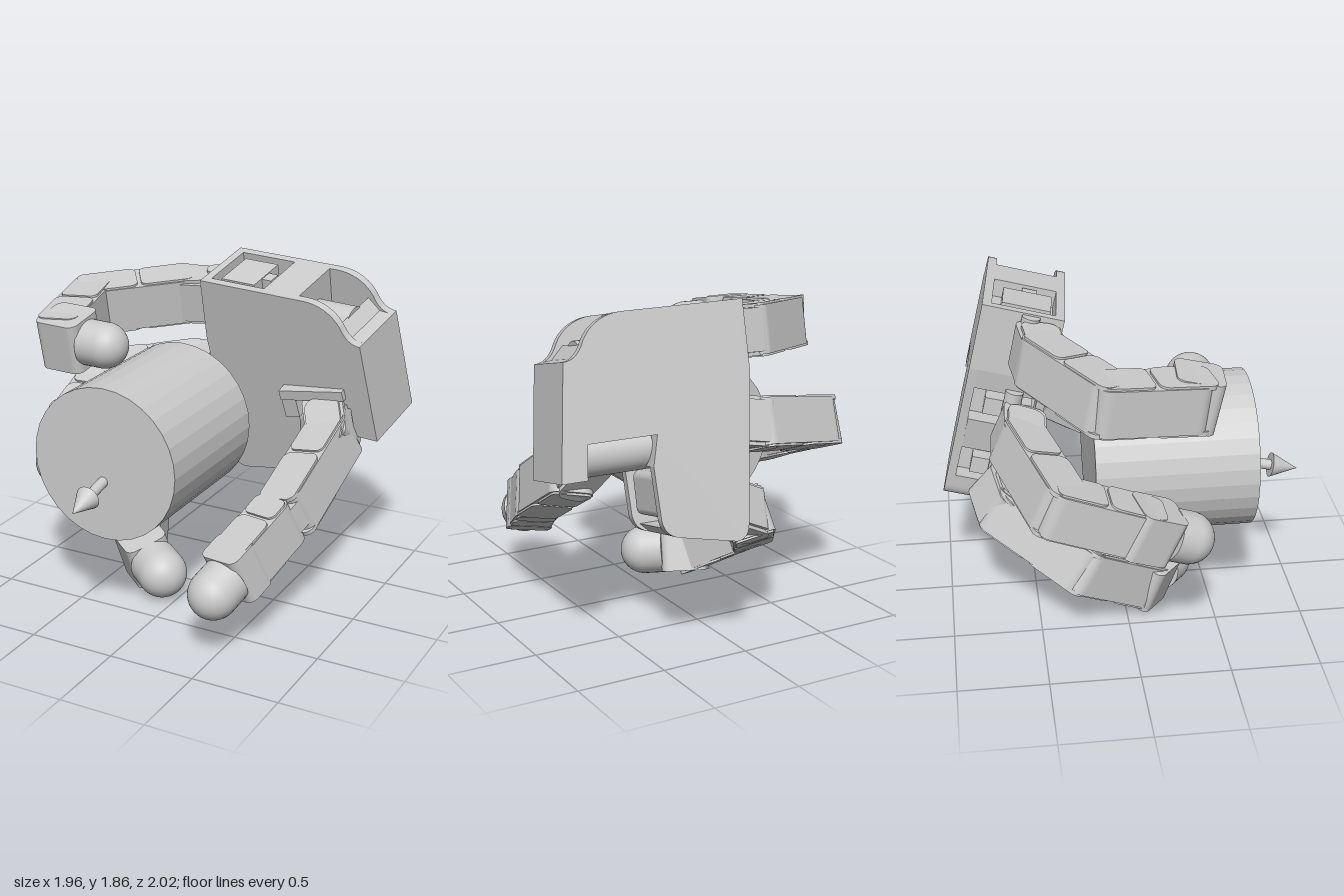
import * as THREE from 'three';

const grey = new THREE.MeshStandardMaterial({ color: 0xcccccc });
const faceted = new THREE.MeshStandardMaterial({ color: 0xcccccc, flatShading: true });
const V = (x, y, z) => new THREE.Vector3(x, y, z);

function add(parent, name, geometry, x = 0, y = 0, z = 0, material = grey) {
  const mesh = new THREE.Mesh(geometry, material);
  mesh.name = name;
  mesh.position.set(x, y, z);
  parent.add(mesh);
  return mesh;
}
const box = (parent, name, w, h, d, x, y, z) => add(parent, name, new THREE.BoxGeometry(w, h, d), x, y, z);

// Rounded rectangle from x0 to x1, centred on y, extruded along z by w
function slab(x0, x1, h, w, r) {
  const s = new THREE.Shape();
  s.absarc(x1 - r, h / 2 - r, r, 0, Math.PI / 2);
  s.absarc(x0 + r, h / 2 - r, r, Math.PI / 2, Math.PI);
  s.absarc(x0 + r, r - h / 2, r, Math.PI, Math.PI * 1.5);
  s.absarc(x1 - r, r - h / 2, r, Math.PI * 1.5, Math.PI * 2);
  s.closePath();
  const g = new THREE.ExtrudeGeometry(s, { depth: w, bevelEnabled: false, curveSegments: 6 });
  return g.translate(0, 0, -w / 2);
}

// Group whose x axis runs from a to b and whose z axis follows the hinge axis
function frame(parent, name, a, b, hinge) {
  const x = b.clone().sub(a).normalize();
  const y = hinge.clone().cross(x).normalize();
  const z = x.clone().cross(y);
  const g = new THREE.Group();
  g.name = name;
  g.quaternion.setFromRotationMatrix(new THREE.Matrix4().makeBasis(x, y, z));
  g.position.copy(a);
  parent.add(g);
  return g;
}

// Finger: knuckle, two links and a round tip along five joint points.
// gap leaves the narrow core bare at the start of the second link.
function finger(parent, name, pts, hinge, w, tipR, gap = 0) {
  const f = new THREE.Group();
  f.name = name;
  parent.add(f);
  const t = 0.245;
  for (let i = 0; i < 3; i++) {
    const L = pts[i].distanceTo(pts[i + 1]);
    const g = frame(f, i ? 'link' : 'knuckle', pts[i], pts[i + 1], hinge);
    if (i === 0) {
      add(g, 'knuckleBlock', slab(-0.04, L + 0.05, t, w * 0.82, 0.05));
      for (const s of [-1, 1]) add(g, 'knuckleCheek', slab(0, L + 0.08, t * 0.85, 0.02, 0.06), 0, 0, s * w * 0.45);
      continue;
    }
    const start = i === 2 ? gap : 0;
    if (start) add(g, 'linkCore', slab(-0.08, L * 0.5, t * 0.9, w * 0.6, 0.07));
    add(g, 'linkBody', slab(start - 0.08, L + 0.06, t, w * 0.92, 0.07));
    // Side brackets at both ends with a seam between
    for (const s of [-1, 1]) {
      add(g, 'nearBracket', slab(start - 0.06, L * 0.46, t * 0.9, 0.025, 0.04), 0, 0, s * (w / 2 - 0.012));
      add(g, 'farBracket', slab(L * 0.5, L + 0.08, t * 0.95, 0.025, 0.05), 0, 0, s * (w / 2 - 0.012));
    }
  }
  const L = pts[3].distanceTo(pts[4]);
  const tip = frame(f, 'fingertip', pts[3], pts[4], hinge);
  const end = Math.max(L - 0.11, 0.06);
  add(tip, 'tipBlock', slab(-0.09, end, t + 0.015, w, 0.05));
  // Round pad, kept inside the block where the two overlap
  const pad = new THREE.SphereGeometry(tipR, 32, 16, 0, Math.PI * 2, 0, Math.PI / 2).rotateZ(-Math.PI / 2);
  add(tip, 'tipPad', pad, L, 0, 0);
  const sleeve = new THREE.CylinderGeometry(tipR, tipR, L - end + 0.01, 32).rotateZ(Math.PI / 2);
  add(tip, 'tipSleeve', sleeve, (L + end - 0.01) / 2, 0, 0);
}

// Palm outline; the middle layer gets pockets in its edges
function palmShape(pockets) {
  const s = new THREE.Shape();
  const to = (...p) => p.forEach(([x, y]) => s.lineTo(x, y));
  s.moveTo(0, 0);
  if (pockets) to([0.05, 0], [0.05, -0.1], [0.4, -0.1], [0.4, 0], [0.63, 0], [0.63, -0.25], [0.87, -0.25], [0.87, -0.14], [0.94, -0.21]);
  else {
    to([0.68, 0]);
    s.bezierCurveTo(0.8, 0, 0.88, -0.07, 0.91, -0.14);
    s.quadraticCurveTo(0.95, -0.22, 1.02, -0.22);
  }
  to([1.02, -0.22], [1.1, -0.82], [0.96, -0.82], [0.94, -0.64], [0.56, -0.64], [0.6, -0.8]);
  if (pockets) to([0.42, -0.82], [0.42, -1.13], [0.55, -1.13]);
  else {
    to([0.59, -1.08]);
    s.quadraticCurveTo(0.58, -1.16, 0.5, -1.18);
  }
  to([0.5, -1.18], [0.18, -1.25]);
  s.quadraticCurveTo(0.11, -1.25, 0.1, -1.17);
  if (pockets) to([0.09, -1.1], [0.2, -1.1], [0.2, -0.9], [0.07, -0.9], [0.03, -0.7], [0.14, -0.7], [0.14, -0.5], [0.02, -0.5]);
  to([0, -0.38]);
  s.closePath();
  return s;
}

function palm(parent) {
  const p = new THREE.Group();
  p.name = 'palm';
  p.position.set(-0.15, 1.77, -0.31);
  p.rotation.set(0.23, -0.095, 0);
  parent.add(p);
  const layer = (name, pockets, z, depth) => add(p, name,
    new THREE.ExtrudeGeometry(palmShape(pockets), { depth, bevelEnabled: false, curveSegments: 10 }), 0, 0, z);
  layer('palmFace', false, -0.05, 0.05);
  layer('palmCore', true, -0.4, 0.35);
  layer('backPlate', false, -0.45, 0.05);
  // Drives inside the pockets
  box(p, 'topDrive', 0.22, 0.09, 0.27, 0.21, -0.05, -0.21);
  box(p, 'driveTab', 0.06, 0.08, 0.08, 0.35, -0.05, -0.2);
  add(p, 'sideDrive', slab(-0.1, 0.1, 0.24, 0.28, 0.04), 0.47, -0.96, -0.22);
  const roller = new THREE.CylinderGeometry(0.12, 0.12, 0.25, 28).rotateZ(Math.PI / 2);
  add(p, 'pocketRoller', roller, 0.75, -0.24, -0.22);
  const motor = new THREE.CylinderGeometry(0.12, 0.12, 0.36, 28).rotateZ(Math.PI / 2);
  add(p, 'thumbMotor', motor, 0.75, -0.7, -0.28);
  box(p, 'thumbMotorMount', 0.3, 0.2, 0.16, 0.74, -0.72, -0.12);
  // Hinge pins where the fingers meet the palm
  [[0, -0.14], [0.02, -0.6], [0.1, -1.02]].forEach(([x, y]) => {
    box(p, 'hingeMount', 0.1, 0.1, 0.26, x + 0.06, y, -0.2);
    add(p, 'hingePin', new THREE.CylinderGeometry(0.05, 0.05, 0.26, 20), x - 0.01, y, -0.18);
  });
}

export function createModel() {
  const hand = new THREE.Group();
  hand.name = 'mechanicalHand';
  palm(hand);

  finger(hand, 'upperFinger', [V(-0.16, 1.64, -0.48), V(-0.34, 1.63, -0.46), V(-0.78, 1.58, -0.16),
    V(-0.69, 1.525, 0.31), V(-0.4, 1.525, 0.33)], V(0, 0.97, 0.2), 0.29, 0.13);
  finger(hand, 'middleFinger', [V(-0.16, 1.16, -0.58), V(-0.33, 1.13, -0.59), V(-0.85, 1.03, -0.42),
    V(-0.83, 0.86, 0.02), V(-0.76, 0.74, 0.28)], V(0, 0.93, 0.36), 0.28, 0.145);
  finger(hand, 'lowerFinger', [V(-0.04, 0.73, -0.71), V(-0.21, 0.65, -0.67), V(-0.48, 0.42, -0.25),
    V(-0.32, 0.2, 0.1), V(-0.09, 0.17, 0.27)], V(0.1, 0.88, 0.46), 0.28, 0.145);
  finger(hand, 'thumb', [V(0.62, 1.1, -0.45), V(0.7, 0.95, -0.34), V(0.66, 0.7, 0.14),
    V(0.54, 0.48, 0.55), V(0.49, 0.39, 0.74)], V(-0.25, 0.84, 0.47), 0.29, 0.14, 0.14);

  // Bracket carrying the thumb, set into the palm face
  const bracket = new THREE.Group();
  bracket.name = 'thumbBracket';
  bracket.position.set(0.57, 1.12, -0.42);
  bracket.rotation.set(0.23, 0, 0.16);
  box(bracket, 'bracketTop', 0.4, 0.06, 0.16, 0, 0.08, 0);
  box(bracket, 'bracketBase', 0.4, 0.16, 0.08, 0, 0, -0.06);
  box(bracket, 'bracketLip', 0.09, 0.14, 0.14, -0.155, 0, 0);
  add(bracket, 'thumbPivot', new THREE.CylinderGeometry(0.1, 0.1, 0.12, 24), 0.1, -0.05, 0.03);
  hand.add(bracket);

  // Held cylinder
  add(hand, 'heldCylinder', new THREE.CylinderGeometry(0.44, 0.44, 0.89, 32).rotateX(Math.PI / 2),
    -0.207, 0.977, 0.245, faceted);

  // Arrow pointing out of the held cylinder
  const arrow = new THREE.Group();
  arrow.name = 'arrow';
  arrow.position.set(-0.215, 0.81, 1);
  arrow.rotation.x = Math.PI / 2 + 0.21;
  add(arrow, 'arrowHead', new THREE.ConeGeometry(0.07, 0.16, 24), 0, -0.08, 0);
  add(arrow, 'arrowShaft', new THREE.CylinderGeometry(0.03, 0.03, 0.5, 20), 0, -0.41, 0);
  hand.add(arrow);
  return hand;
}
